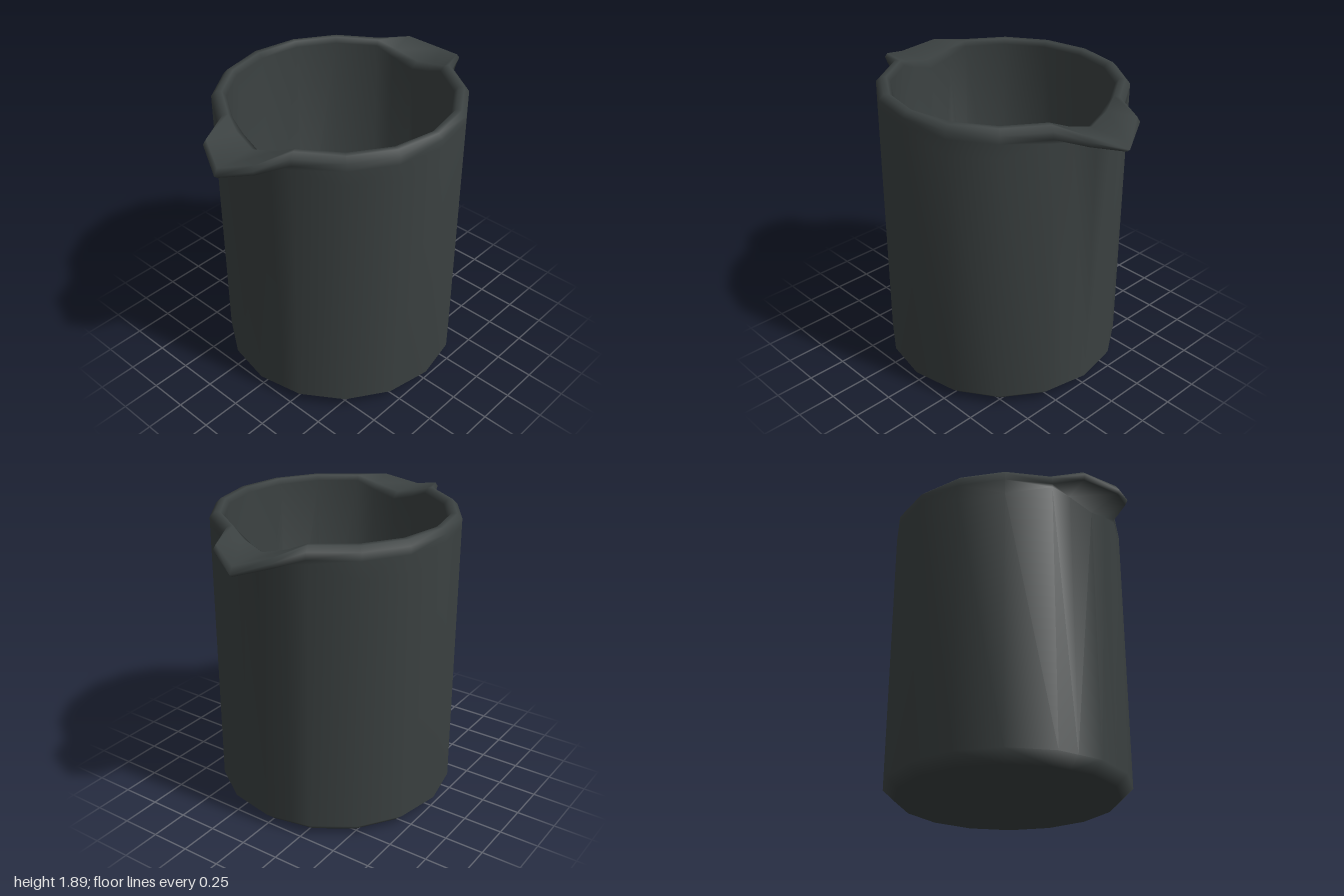
import * as THREE from 'three';

// Rings from the outer base, up over the rim and down to the inner floor.
// Each entry is [radius, height]; tip and side replace it along the two spouts.
const RINGS = [
  { wall: [0.69, 0] },
  { wall: [0.765, 0.07] },
  { wall: [0.765, 1.71], side: [0.75, 1.765], shoulder: [0.765, 1.79] },
  { wall: [0.765, 1.81], tip: [0.98, 1.742], side: [0.905, 1.80], shoulder: [0.765, 1.815] },
  { wall: [0.765, 1.86], tip: [1.0, 1.76], side: [0.922, 1.832] },
  { wall: [0.735, 1.89], tip: [0.975, 1.802], side: [0.9, 1.86] },
  { wall: [0.70, 1.89], tip: [0.72, 1.805], side: [0.71, 1.845] },
  { wall: [0.675, 1.86], tip: [0.67, 1.765], side: [0.665, 1.81] },
  { wall: [0.675, 0.08] },
];

// Sixteen columns around the body, plus two extra ones beside each spout tip.
function makeColumns() {
  const columns = [];
  for (let k = 0; k < 16; k++) {
    const deg = k * 22.5, step = k % 8;
    const kind = step === 0 ? 'tip' : step === 1 || step === 7 ? 'shoulder' : 'wall';
    if (step === 0) columns.push({ deg: deg - 12.5, kind: 'side' });
    columns.push({ deg, kind });
    if (step === 0) columns.push({ deg: deg + 12.5, kind: 'side' });
  }
  return columns;
}

function jugGeometry() {
  const columns = makeColumns(), n = columns.length;
  const positions = [], index = [];
  // Keeps the side columns on the flat between two corners of the body
  const chord = Math.cos(Math.PI / 16) / Math.cos(THREE.MathUtils.degToRad(1.25));
  for (const ring of RINGS) {
    for (const { deg, kind } of columns) {
      let [r, y] = ring[kind] ?? ring.wall;
      if (kind === 'side' && !ring.side) r *= chord;
      const a = THREE.MathUtils.degToRad(deg);
      positions.push(r * Math.sin(a), y, r * Math.cos(a));
    }
  }
  for (let i = 0; i < RINGS.length - 1; i++) {
    for (let j = 0; j < n; j++) {
      const a = i * n + j, b = i * n + (j + 1) % n;
      // Mirror the diagonals either side of each spout
      if (columns[j].deg % 180 < 90) index.push(a, b, b + n, a, b + n, a + n);
      else index.push(a, b, a + n, b, b + n, a + n);
    }
  }
  // Outer base and inner floor
  const base = positions.length / 3, floor = base + 1, last = (RINGS.length - 1) * n;
  positions.push(0, 0, 0, 0, 0.08, 0);
  for (let j = 0; j < n; j++) {
    const k = (j + 1) % n;
    index.push(base, k, j, floor, last + j, last + k);
  }
  const geometry = new THREE.BufferGeometry();
  geometry.setAttribute('position', new THREE.Float32BufferAttribute(positions, 3));
  geometry.setIndex(index);
  geometry.computeVertexNormals();
  return geometry;
}

export function createModel() {
  const group = new THREE.Group();
  group.name = 'twoSpoutJug';
  const darkGrey = new THREE.MeshStandardMaterial({ color: 0x3b4141 });
  darkGrey.name = 'darkGrey';
  const jug = new THREE.Mesh(jugGeometry(), darkGrey);
  jug.name = 'jugBody';
  group.add(jug);
  return group;
}
